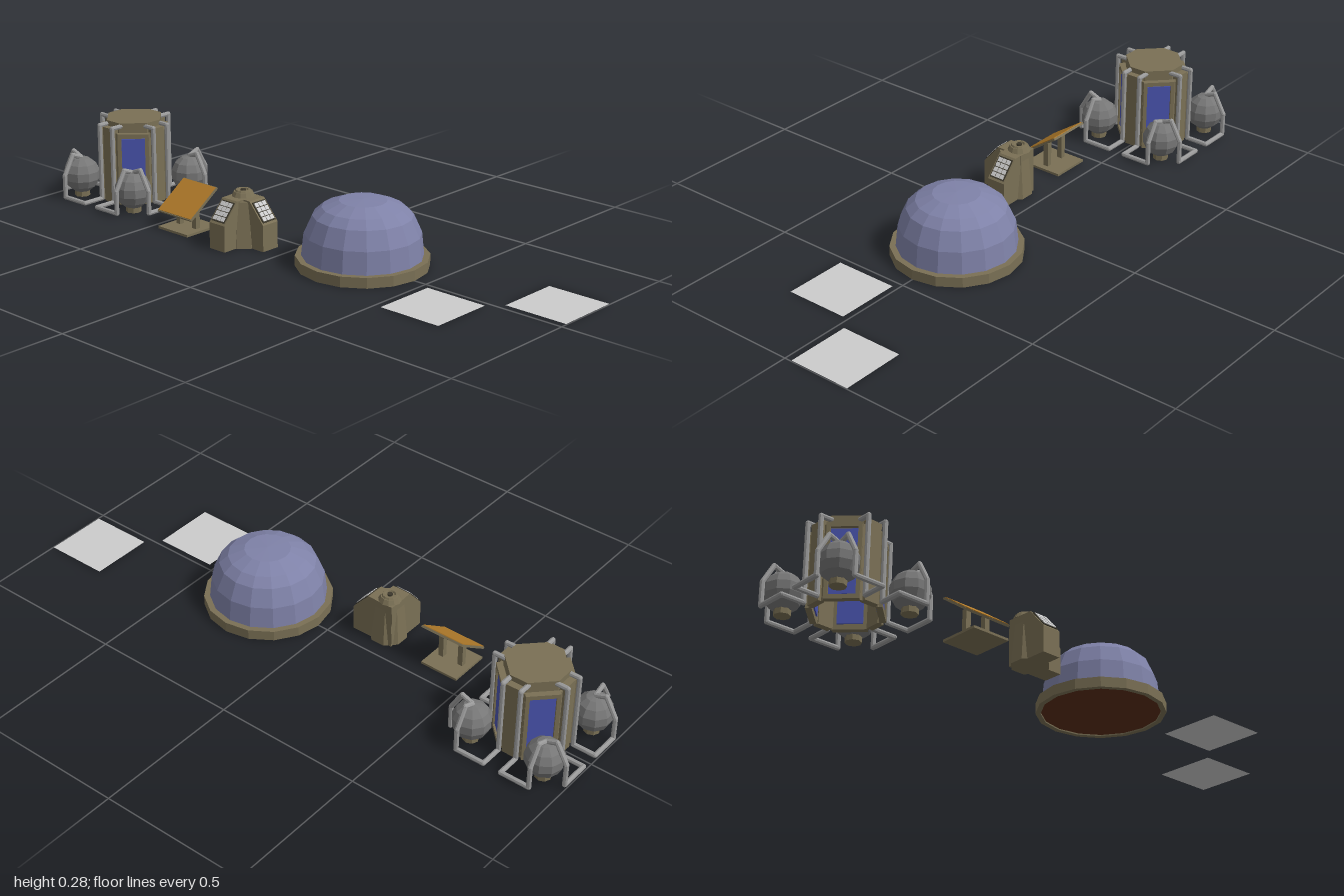
import * as THREE from 'three';

const mat = (color) => new THREE.MeshStandardMaterial({ color, flatShading: true, side: THREE.DoubleSide });
const brown = mat(0x7a7055), dark = mat(0x3c382c), blue = mat(0x4a55b0), orange = mat(0xb07a2a);
const tankGrey = mat(0x777777), pipeGrey = mat(0x999999), domeBlue = mat(0x7f82a8);
const floorRed = mat(0x5a2e18), plain = mat(0xcccccc);

function add(parent, name, geometry, material, x = 0, y = 0, z = 0) {
  const m = new THREE.Mesh(geometry, material);
  m.name = name;
  m.position.set(x, y, z);
  parent.add(m);
  return m;
}
const box = (w, h, d) => new THREE.BoxGeometry(w, h, d);

function group(parent, name, x = 0, y = 0, z = 0) {
  const g = new THREE.Group();
  g.name = name;
  g.position.set(x, y, z);
  parent.add(g);
  return g;
}

// diamond with cut corners: a = reach along the axes, c = half width of the cut
function diamond(a, c, Type = THREE.Shape) {
  const pts = [[a, -c], [a, c], [c, a], [-c, a], [-a, c], [-a, -c], [-c, -a], [c, -a]];
  return new Type(pts.map(p => new THREE.Vector2(...p)));
}
function prism(shape, height) {
  return new THREE.ExtrudeGeometry(shape, { depth: height, bevelEnabled: false }).rotateX(-Math.PI / 2);
}

// pipe with sharp elbows through a list of points
function pipe(parent, pts, r) {
  const g = group(parent, 'pipe');
  const v = pts.map(p => new THREE.Vector3(...p));
  for (let i = 1; i < v.length; i++) {
    const dir = v[i].clone().sub(v[i - 1]);
    const seg = add(g, 'pipeSegment', new THREE.CylinderGeometry(r, r, dir.length(), 8), pipeGrey);
    seg.position.copy(v[i]).add(v[i - 1]).multiplyScalar(0.5);
    seg.quaternion.setFromUnitVectors(new THREE.Vector3(0, 1, 0), dir.normalize());
    if (i < v.length - 1) add(g, 'pipeElbow', new THREE.SphereGeometry(r * 1.03, 8, 6), pipeGrey, ...pts[i]);
  }
}

function tower(parent) {
  const g = group(parent, 'tower', -0.787, 0, 0);
  // hollow body, open below
  const wall = diamond(0.108, 0.034);
  wall.holes.push(diamond(0.1, 0.03, THREE.Path));
  add(g, 'towerWall', prism(wall, 0.245), brown);
  add(g, 'towerRoof', prism(diamond(0.096, 0.03), 0.04), brown, 0, 0.238, 0);
  for (let i = 0; i < 4; i++) {
    const side = group(g, 'towerSide');
    side.rotation.y = i * Math.PI / 2;
    add(side, 'pillar', box(0.05, 0.26, 0.022), brown, 0, 0.13, 0.108);

    // framed blue panel on the diagonal face
    const face = group(side, 'panelFace');
    face.rotation.y = Math.PI / 4;
    add(face, 'panel', box(0.078, 0.21, 0.018), blue, 0, 0.122, 0.0965);
    for (const s of [-1, 1]) {
      add(face, 'panelJamb', box(0.012, 0.245, 0.018), brown, s * 0.046, 0.1225, 0.102);
      add(face, 'panelRail', box(0.092, 0.014, 0.018), brown, 0, 0.1225 + s * 0.1155, 0.102);
    }

    // round tank on a post, fed by two mirrored pipes
    const tank = group(side, 'tank', 0.13, 0, 0.13);
    add(tank, 'tankBall', new THREE.SphereGeometry(0.063, 10, 7), tankGrey, 0, 0.075, 0);
    add(tank, 'tankPost', new THREE.CylinderGeometry(0.026, 0.026, 0.05, 8), brown, 0, 0.025, 0);
    const path = [[0.031, 0.266, 0.08], [0.031, 0.266, 0.128], [0.031, 0.009, 0.128], [0.031, 0.009, 0.205],
      [0.13, 0.009, 0.205], [0.13, 0.085, 0.205], [0.13, 0.15, 0.168], [0.13, 0.135, 0.13]];
    pipe(side, path, 0.008);
    pipe(side, path.map(([x, y, z]) => [z, y, x]), 0.008);
  }
}

function signBoard(parent) {
  const g = group(parent, 'panelStand', -0.4, 0, 0.125);
  add(g, 'standBase', box(0.135, 0.008, 0.14), brown, 0, 0.004, 0);
  for (const s of [-1, 1]) add(g, 'standPost', box(0.018, 0.088, 0.018), brown, s * 0.037, 0.048, 0);
  // tilted board, high at the back
  const board = group(g, 'board', 0, 0.097, 0);
  board.rotation.x = 0.61;
  add(board, 'boardBack', box(0.156, 0.007, 0.147), brown);
  add(board, 'boardFace', box(0.15, 0.003, 0.141), orange, 0, 0.0045, 0);
}

function consoleDesk(parent) {
  const g = group(parent, 'console', -0.175, 0, 0.095);
  const profile = new THREE.Shape([[-0.034, 0], [0.119, 0], [0.119, 0.087], [0.06, 0.155], [-0.034, 0.155]]
    .map(p => new THREE.Vector2(...p)));
  const w = 0.066;
  for (const turn of [0, -Math.PI / 2]) {
    const arm = group(g, 'consoleArm');
    arm.rotation.y = turn;
    add(arm, 'armBody', new THREE.ExtrudeGeometry(profile, { depth: w, bevelEnabled: false }), brown, 0, 0, -w / 2);
    // key panel on the slope
    const pad = group(arm, 'keyPanel', 0.0895, 0.121, 0);
    pad.rotation.z = -Math.atan2(0.068, 0.059);
    add(pad, 'keyFrame', box(0.074, 0.006, 0.056), dark);
    for (let i = 0; i < 4; i++) for (let j = 0; j < 3; j++)
      add(pad, 'key', box(0.0145, 0.006, 0.0145), plain, (i - 1.5) * 0.017, 0.002, (j - 1) * 0.017);
  }
  // hub and round cap
  add(g, 'hub', new THREE.CylinderGeometry(0.048, 0.062, 0.15, 8).rotateY(Math.PI / 8), brown, 0.012, 0.075, 0.012);
  add(g, 'capCollar', new THREE.CylinderGeometry(0.03, 0.038, 0.016, 12), brown, 0, 0.162, 0);
  add(g, 'capRing', new THREE.TorusGeometry(0.021, 0.006, 6, 12).rotateX(Math.PI / 2), brown, 0, 0.17, 0);
  add(g, 'capButton', new THREE.CylinderGeometry(0.009, 0.009, 0.008, 8), dark, 0, 0.172, 0);
}

function dome(parent) {
  const g = group(parent, 'dome', 0.247, 0, 0);
  const lathe = (pts) => new THREE.LatheGeometry(pts.map(p => new THREE.Vector2(...p)), 16);
  add(g, 'domeShell', lathe([[0.191, 0.03], [0.183, 0.106], [0.157, 0.164], [0.128, 0.19], [0.075, 0.211], [0, 0.214]]), domeBlue);
  add(g, 'domeBase', lathe([[0.193, 0], [0.21, 0], [0.21, 0.034], [0.188, 0.034], [0.193, 0]]), brown);
  add(g, 'domeFloor', new THREE.CircleGeometry(0.194, 16).rotateX(Math.PI / 2).rotateY(Math.PI / 2), floorRed, 0, 0.004, 0);
}

export function createModel() {
  const model = new THREE.Group();
  model.name = 'outpost';
  tower(model);
  signBoard(model);
  consoleDesk(model);
  dome(model);
  // flat ground pads
  for (const [x, z] of [[0.89, -0.132], [0.632, 0.128]])
    add(model, 'groundPad', new THREE.PlaneGeometry(0.216, 0.216).rotateX(-Math.PI / 2), plain, x, 0.001, z);
  return model;
}
